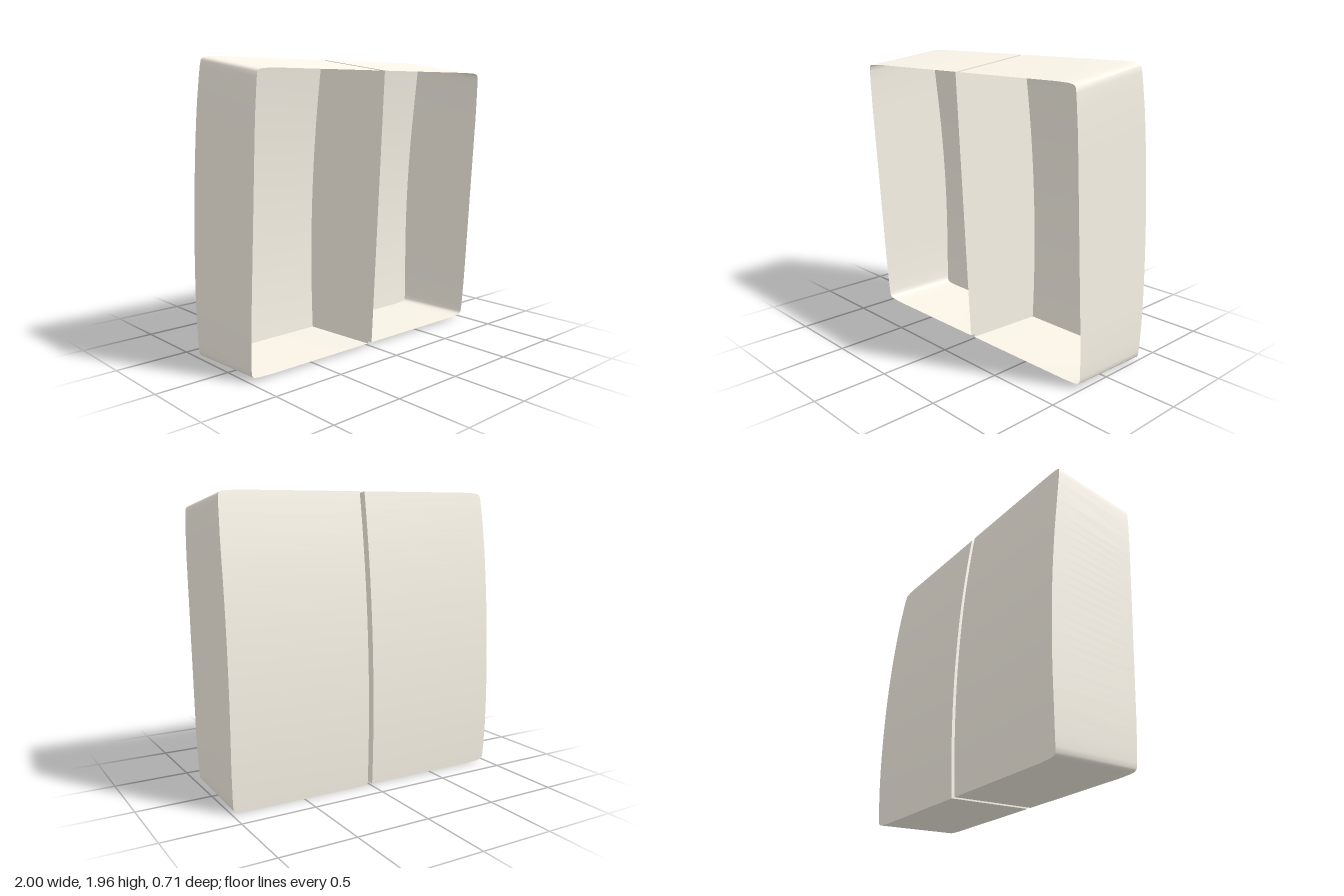
import * as THREE from 'three';
import { toCreasedNormals } from 'three/addons/utils/BufferGeometryUtils.js';

const INNER_X = 0.018;

// Outer edge of one shell near a corner: [height fraction, x], lower half
const corner = [
  [0, 0.85], [0.002, 0.94], [0.0045, 0.968], [0.008, 0.981],
  [0.014, 0.988], [0.03, 0.992], [0.07, 0.995], [0.14, 0.999],
];

// Levels from bottom to top: rounded corner, straight side, mirrored corner
const levels = [...corner];
for (let i = 0; i <= 20; i++) levels.push([0.2 + 0.03 * i, 1]);
levels.push(...corner.map(([v, x]) => [1 - v, x]).reverse());

// Straight, forward-leaning open rim
const frontPoint = (x, v) => [x, 0.02 + 1.852 * v, 0.245 + 0.11 * v];

// Curved back edge
const backPoint = (x, v) => {
  const y = 1.957 * v;
  return [x, y, -0.357 + 0.056 * (y - 0.45) ** 2];
};

function buildGeometry(side, addFaces) {
  const positions = [];
  const tri = (a, b, c) => {
    for (const p of side > 0 ? [a, b, c] : [a, c, b]) positions.push(p[0] * side, p[1], p[2]);
  };
  addFaces((a, b, c, d) => { tri(a, b, c); tri(a, c, d); });
  const geometry = new THREE.BufferGeometry();
  geometry.setAttribute('position', new THREE.Float32BufferAttribute(positions, 3));
  return toCreasedNormals(geometry, 0.7);
}

// Side, top, bottom and inner walls: one strip around the outline
function wallGeometry(side) {
  const ring = [
    ...levels.map(([v, x]) => [x, v]),
    ...levels.map(([v]) => [INNER_X, v]).reverse(),
  ];
  return buildGeometry(side, (quad) => {
    ring.forEach((p, i) => {
      const q = ring[(i + 1) % ring.length];
      quad(frontPoint(...p), backPoint(...p), backPoint(...q), frontPoint(...q));
    });
  });
}

// Bowed panel closing the back
function backGeometry(side) {
  return buildGeometry(side, (quad) => {
    for (let i = 0; i < levels.length - 1; i++) {
      const [v0, x0] = levels[i];
      const [v1, x1] = levels[i + 1];
      quad(backPoint(INNER_X, v0), backPoint(INNER_X, v1), backPoint(x1, v1), backPoint(x0, v0));
    }
  });
}

export function createModel() {
  const model = new THREE.Group();
  model.name = 'pairedShells';
  // Warm ivory, seen from both sides
  const material = new THREE.MeshStandardMaterial({ color: 0xfaf4e8, side: THREE.DoubleSide });

  // Two mirrored open-fronted shells with a narrow gap between them
  for (const [name, side] of [['leftShell', 1], ['rightShell', -1]]) {
    const shell = new THREE.Group();
    shell.name = name;
    const walls = new THREE.Mesh(wallGeometry(side), material);
    walls.name = 'walls';
    const back = new THREE.Mesh(backGeometry(side), material);
    back.name = 'backPanel';
    shell.add(walls, back);
    model.add(shell);
  }
  return model;
}
